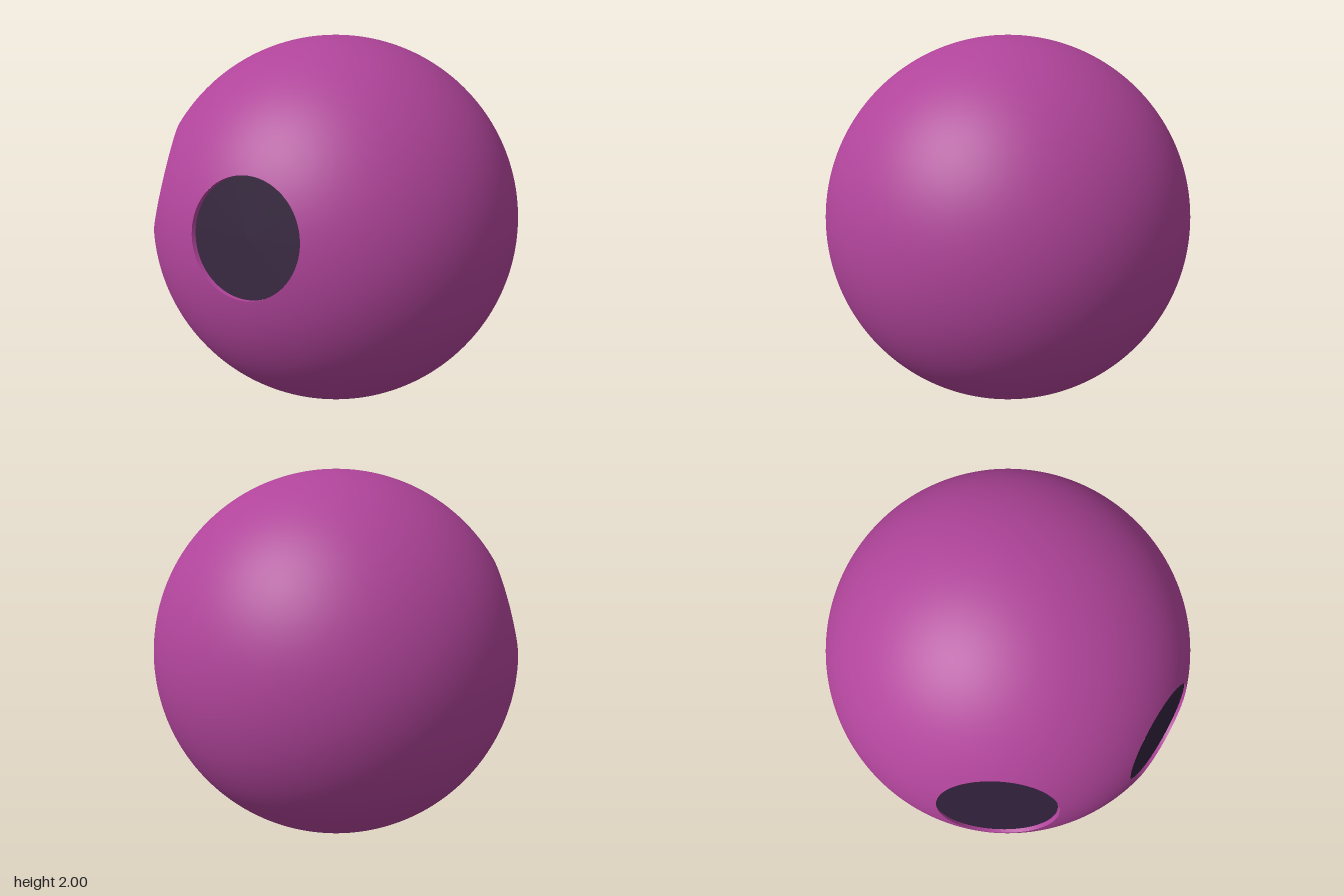
import * as THREE from 'three';

const SEGMENTS = 72;
const DEPTH = 0.02; // recess of each eye, straight back along z

// Each eye: centre offset from the ball's centre, and radius of its rim
const eyes = [
  { name: 'leftEye', x: 0.45, y: 0.19, r: 0.288 },
  { name: 'rightEye', x: -0.47, y: 0.25, r: 0.305 },
].map((e) => {
  const d = Math.sqrt(1 - e.r * e.r); // the rim lies on the unit sphere
  const centre = new THREE.Vector3(e.x, e.y, Math.sqrt(d * d - e.x * e.x - e.y * e.y));
  return { ...e, d, centre, normal: centre.clone().normalize() };
});

// Unit ball with a clean round opening for each eye
function ballGeometry() {
  const src = new THREE.SphereGeometry(1, 192, 112).toNonIndexed().attributes.position;
  const out = [];
  for (let i = 0; i < src.count; i += 3) {
    const tri = [0, 1, 2].map((k) => new THREE.Vector3().fromBufferAttribute(src, i + k));
    let keep = true;
    for (const e of eyes) {
      const inside = tri.filter((v) => v.dot(e.normal) > e.d);
      if (inside.length === 3) keep = false;
      // slide corners that fall in the opening out to its rim
      else for (const v of inside) {
        v.addScaledVector(e.normal, -v.dot(e.normal)).setLength(e.r).add(e.centre);
      }
    }
    if (keep) for (const v of tri) out.push(v.x, v.y, v.z);
  }
  const g = new THREE.BufferGeometry();
  g.setAttribute('position', new THREE.Float32BufferAttribute(out, 3));
  g.setAttribute('normal', new THREE.Float32BufferAttribute(out, 3)); // radial, so smooth
  return g;
}

// Short wall from the rim back to the eye's flat floor
function wallGeometry(e, turn) {
  const g = new THREE.CylinderGeometry(e.r, e.r, 1, SEGMENTS, 1, true).rotateX(Math.PI / 2);
  const p = g.attributes.position;
  const v = new THREE.Vector3();
  for (let i = 0; i < p.count; i++) {
    v.fromBufferAttribute(p, i);
    const back = v.z < 0 ? DEPTH : 0;
    v.z = 0;
    v.applyQuaternion(turn);
    p.setXYZ(i, v.x, v.y, v.z - back);
  }
  g.computeVertexNormals();
  return g;
}

export function createModel() {
  const group = new THREE.Group();
  const skin = new THREE.MeshStandardMaterial({ color: 0xb0449a });
  const rim = new THREE.MeshStandardMaterial({ color: 0xb0449a, side: THREE.DoubleSide });
  const dark = new THREE.MeshStandardMaterial({ color: 0x33223c, side: THREE.DoubleSide });

  const ball = new THREE.Mesh(ballGeometry(), skin);
  ball.name = 'ball';
  ball.position.y = 1;
  group.add(ball);

  for (const e of eyes) {
    const turn = new THREE.Quaternion().setFromUnitVectors(new THREE.Vector3(0, 0, 1), e.normal);
    const eye = new THREE.Group();
    eye.name = e.name;
    eye.position.copy(e.centre).add(ball.position);

    const wall = new THREE.Mesh(wallGeometry(e, turn), rim);
    wall.name = e.name + 'Rim';

    const floor = new THREE.Mesh(new THREE.CircleGeometry(e.r, SEGMENTS), dark);
    floor.name = e.name + 'Disc';
    floor.quaternion.copy(turn);
    floor.position.z = -DEPTH;

    eye.add(wall, floor);
    group.add(eye);
  }
  return group;
}
